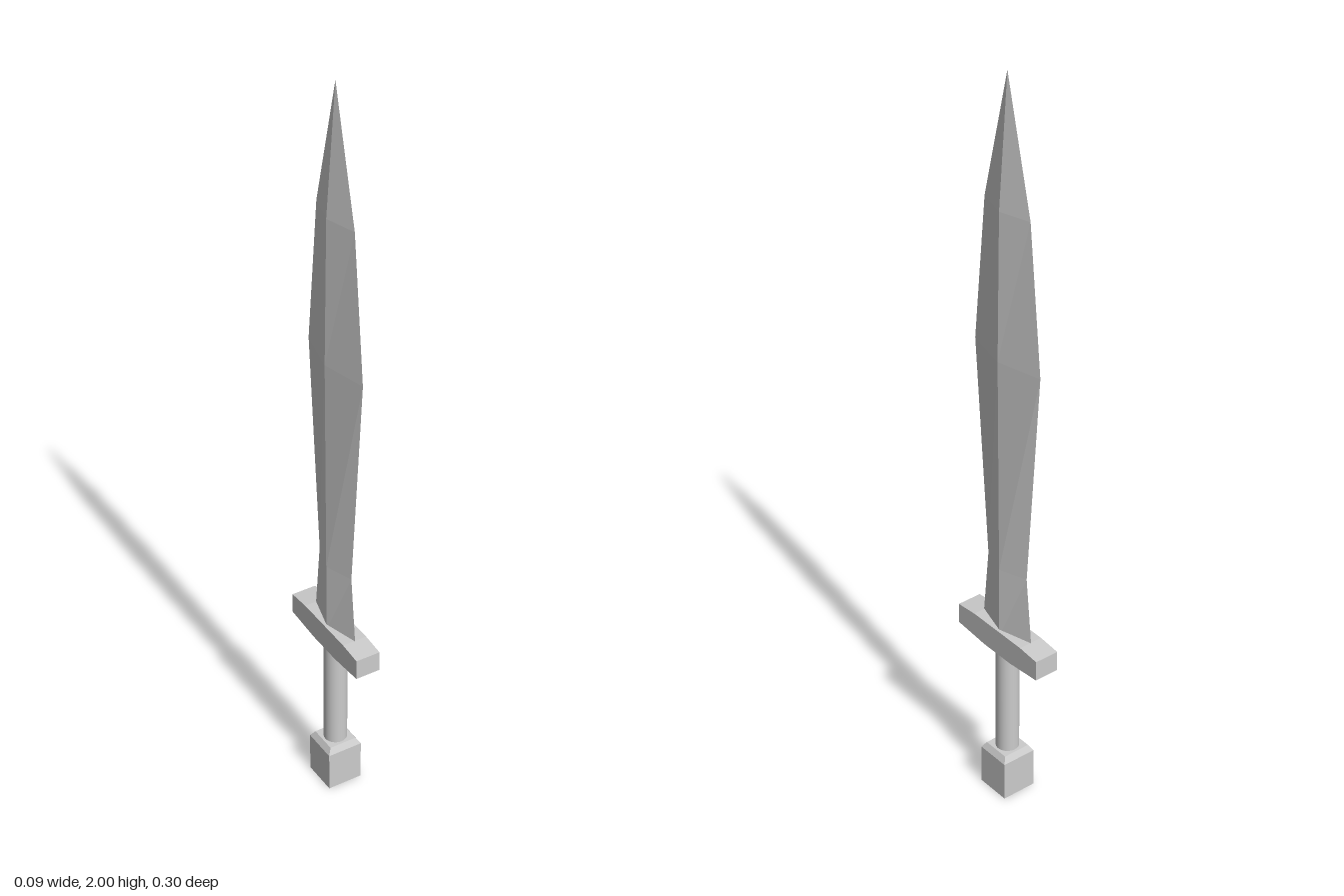
import * as THREE from 'three';

const flat = new THREE.MeshStandardMaterial({ color: 0xcccccc, flatShading: true });
const smooth = new THREE.MeshStandardMaterial({ color: 0xcccccc });

function addPart(group, name, geometry, material) {
  const mesh = new THREE.Mesh(geometry, material);
  mesh.name = name;
  group.add(mesh);
  return mesh;
}

// Diamond cross-sections [height, half width, half thickness] joined into a blade
function bladeGeometry(sections) {
  const ring = ([y, w, t]) => [[0, y, w], [t, y, 0], [0, y, -w], [-t, y, 0]];
  const positions = [];
  for (let i = 0; i < sections.length - 1; i++) {
    const low = ring(sections[i]);
    const high = ring(sections[i + 1]);
    for (let k = 0; k < 4; k++) {
      const n = (k + 1) % 4;
      positions.push(...low[k], ...low[n], ...high[n]);
      if (sections[i + 1][1] > 0) positions.push(...low[k], ...high[n], ...high[k]);
    }
  }
  const geometry = new THREE.BufferGeometry();
  geometry.setAttribute('position', new THREE.Float32BufferAttribute(positions, 3));
  geometry.computeVertexNormals();
  return geometry;
}

export function createModel() {
  const sword = new THREE.Group();
  sword.name = 'sword';

  // Leaf-shaped blade
  addPart(sword, 'blade', bladeGeometry([
    [0.48, 0.094, 0.026],
    [0.68, 0.074, 0.026],
    [1.27, 0.12, 0.029],
    [1.66, 0.082, 0.024],
    [2, 0, 0],
  ]), flat);

  // Crossguard, slightly deeper in the middle than at its ends
  const outline = new THREE.Shape([
    [-0.152, 0.437], [-0.05, 0.428], [0.05, 0.428], [0.152, 0.437],
    [0.152, 0.493], [0.09, 0.499], [-0.09, 0.499], [-0.152, 0.493],
  ].map(([x, y]) => new THREE.Vector2(x, y)));
  const guard = new THREE.ExtrudeGeometry(outline, { depth: 0.066, bevelEnabled: false });
  guard.translate(0, 0, -0.033).rotateY(Math.PI / 2);
  addPart(sword, 'crossguard', guard, flat);

  // Round grip
  const grip = new THREE.CylinderGeometry(0.03, 0.03, 0.32, 32, 1, true);
  addPart(sword, 'grip', grip, smooth).position.y = 0.275;

  // Square pommel with a chamfered top
  const pommelProfile = [[0, 0], [0.047, 0], [0.047, 0.11], [0.037, 0.126], [0, 0.126]]
    .map(([half, y]) => new THREE.Vector2(half * Math.SQRT2, y));
  const pommel = new THREE.LatheGeometry(pommelProfile, 4).rotateY(Math.PI / 4);
  addPart(sword, 'pommel', pommel, flat);

  return sword;
}
